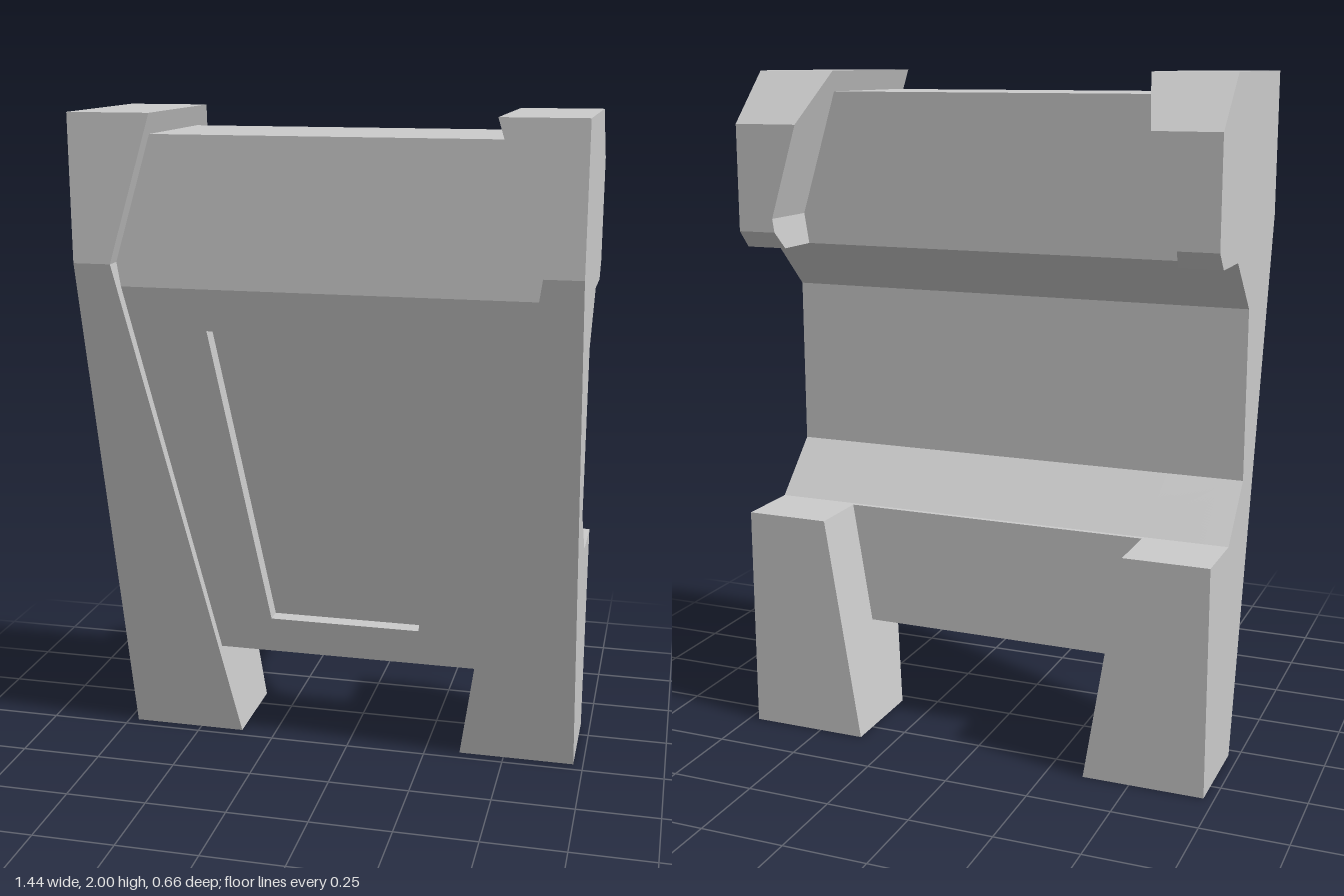
import * as THREE from 'three';

const material = new THREE.MeshStandardMaterial({ color: 0xcccccc, flatShading: true });

const OUTER = 0.72;   // half width of the model
const BEND = 1.58;    // height where the cheeks are narrowest
const PANEL_TOP = 1.51, PANEL_BOTTOM = 0.31, RECESS = 0.05;

// inner edge of a cheek at height y
const inner = (y) => (y < BEND ? 0.36 + (0.25 * y) / BEND : 0.61 - (0.13 * (y - BEND)) / (2 - BEND));
// front of the sloping panel at height y
const panelFront = (y) => 0.28 - 0.2275 * (PANEL_TOP - y);

const toShape = (points) => new THREE.Shape(points.map(([a, b]) => new THREE.Vector2(a, b)));

// moves every vertex by a rule and restores the flat normals
function reshape(geometry, rule) {
  const pos = geometry.attributes.position;
  const v = new THREE.Vector3();
  for (let i = 0; i < pos.count; i++) {
    rule(v.fromBufferAttribute(pos, i));
    pos.setXYZ(i, v.x, v.y, v.z);
  }
  geometry.computeVertexNormals();
  return geometry;
}

// extrudes a [z, y] profile sideways; x runs from -1 to 0
function sideways(profile) {
  return new THREE.ExtrudeGeometry(toShape(profile), { depth: 1, bevelEnabled: false }).rotateY(-Math.PI / 2);
}

export function createModel() {
  const model = new THREE.Group();
  const add = (parent, name, geometry) => {
    const mesh = new THREE.Mesh(geometry, material);
    mesh.name = name;
    parent.add(mesh);
  };

  // cheeks: two profiles meeting at the bend
  const upper = [
    [0.33, BEND], [0.33, 2], [-0.18, 2], [-0.33, 1.85], [-0.33, BEND],
  ];
  const lower = [
    [0.33, BEND], [-0.33, BEND], [-0.33, 1.54], [-0.285, 1.49], [-0.125, 1.49], [0.03, 1.34],
    [0.03, 0.835], [-0.125, 0.68], [-0.33, 0.68], [-0.33, 0], [-0.035, 0],
  ];
  for (const side of [1, -1]) {
    const cheek = new THREE.Group();
    cheek.name = side > 0 ? 'leftCheek' : 'rightCheek';
    for (const [name, profile] of [['cheekHead', upper], ['cheekLeg', lower]]) {
      add(cheek, name, reshape(sideways(profile), (v) => {
        const near = inner(v.y);
        v.x = (side > 0 ? OUTER : -near) + v.x * (OUTER - near);
      }));
    }
    model.add(cheek);
  }

  // body between the cheeks, set back where the front panel sits
  const body = [
    [-0.14, 1.94], [-0.14, 1.49], [-0.125, 1.49], [0.03, 1.34], [0.03, 0.835], [-0.125, 0.68],
    [-0.14, 0.68], [-0.14, PANEL_BOTTOM], [panelFront(PANEL_BOTTOM) - RECESS, PANEL_BOTTOM],
    [panelFront(PANEL_TOP) - RECESS, PANEL_TOP], [0.28, PANEL_TOP], [0.28, 1.94],
  ];
  add(model, 'body', reshape(sideways(body), (v) => { v.x = (v.x + 0.5) * 1.3; }));

  // sloping front panel with a tapered opening that forms the recess
  const panel = toShape([
    [-0.65, PANEL_BOTTOM], [0.65, PANEL_BOTTOM], [0.65, PANEL_TOP], [-0.65, PANEL_TOP],
  ]);
  panel.holes.push(toShape([[-0.235, 0.43], [-0.355, 1.385], [0.355, 1.385], [0.235, 0.43]]));
  const slab = new THREE.ExtrudeGeometry(panel, { depth: RECESS, bevelEnabled: false });
  add(model, 'frontPanel', reshape(slab, (v) => { v.z += panelFront(v.y) - RECESS; }));

  return model;
}
